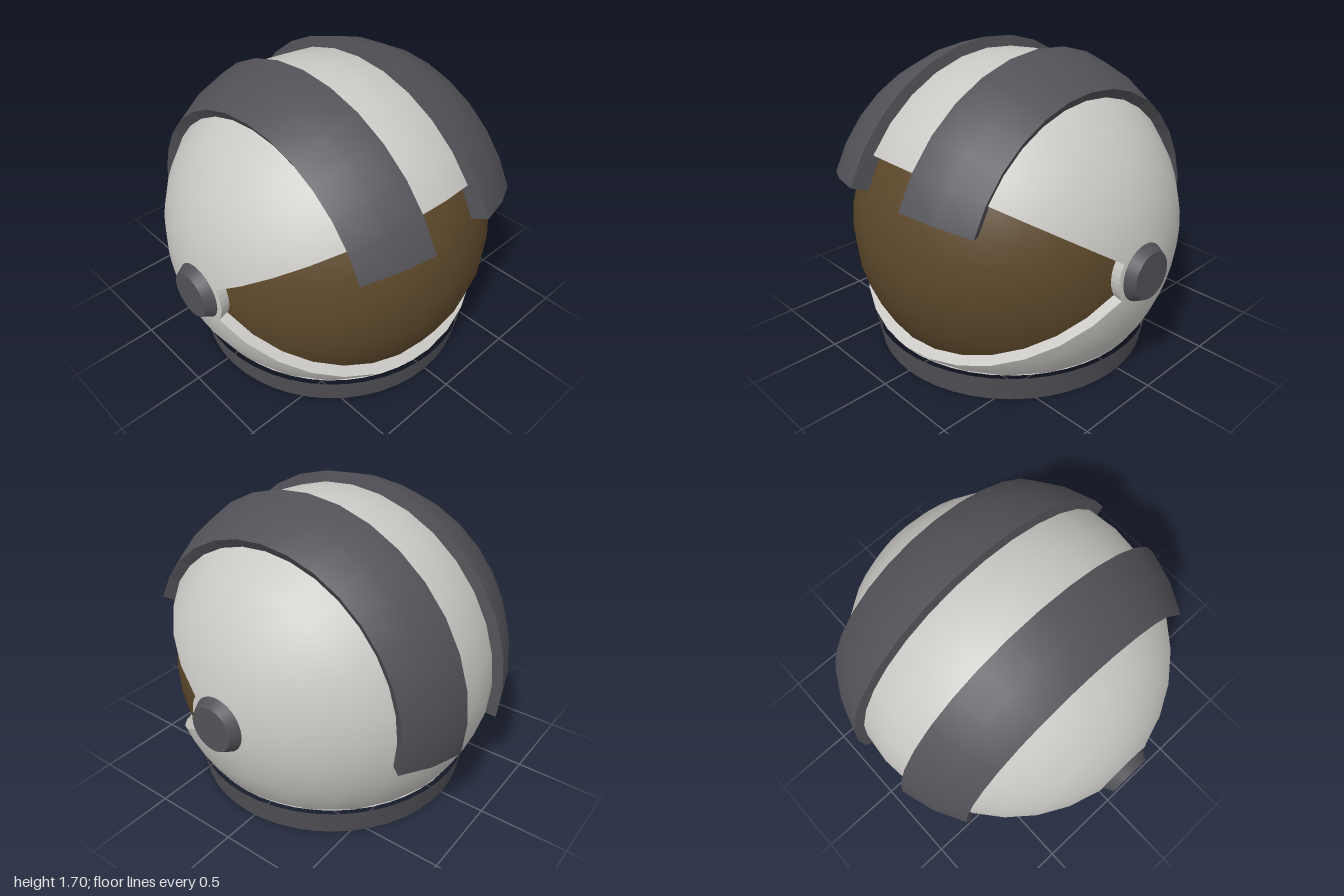
import * as THREE from 'three';

const STEP = Math.PI / 16; // angular step shared by all spherical parts
const CUT = -0.55;         // neck opening height, relative to the sphere centre

// Point on a sphere whose poles lie on the x axis; t counts from the left pole, p upward from the front.
function at(r, t, p) {
  const s = r * Math.sin(t * STEP);
  return new THREE.Vector3(r * Math.cos(t * STEP), s * Math.sin(p * STEP), s * Math.cos(p * STEP));
}

// Keep the part of a polygon above the neck opening.
function clip(poly) {
  const out = [];
  poly.forEach((a, i) => {
    const b = poly[(i + 1) % poly.length];
    if (a.y >= CUT) out.push(a);
    if ((a.y >= CUT) !== (b.y >= CUT)) out.push(a.clone().lerp(b, (CUT - a.y) / (b.y - a.y)));
  });
  return out;
}

// Collects polygons: smooth 1 = outward sphere, -1 = inward sphere, 0 = flat.
class Surface {
  constructor() { this.pos = []; this.nor = []; }
  add(points, smooth = 0) {
    const poly = clip(smooth < 0 ? [...points].reverse() : points);
    for (let i = 1; i + 1 < poly.length; i++) {
      const tri = [poly[0], poly[i], poly[i + 1]];
      const flat = new THREE.Triangle(...tri).getNormal(new THREE.Vector3());
      for (const v of tri) {
        const n = smooth ? v.clone().normalize().multiplyScalar(smooth) : flat;
        this.pos.push(v.x, v.y, v.z);
        this.nor.push(n.x, n.y, n.z);
      }
    }
  }
  cell(r, t, p, smooth) {
    this.add([at(r, t, p), at(r, t, p + 1), at(r, t + 1, p + 1), at(r, t + 1, p)], smooth);
  }
  // Walls around a patch t0..t1, p0..p1 joining radius r0 to r1; side 1 faces away from the patch.
  walls(r0, r1, t0, t1, p0, p1, side) {
    const wall = (ta, pa, tb, pb) => {
      const q = [at(r0, ta, pa), at(r0, tb, pb), at(r1, tb, pb), at(r1, ta, pa)];
      this.add(side > 0 ? q : q.reverse());
    };
    for (let t = t0; t < t1; t++) {
      wall(t, p1, t + 1, p1);
      wall(t + 1, p0, t, p0);
    }
    for (let p = p0; p < p1; p++) {
      wall(t0, p, t0, p + 1);
      wall(t1, p + 1, t1, p);
    }
  }
  mesh(name, material) {
    const g = new THREE.BufferGeometry();
    g.setAttribute('position', new THREE.Float32BufferAttribute(this.pos, 3));
    g.setAttribute('normal', new THREE.Float32BufferAttribute(this.nor, 3));
    const m = new THREE.Mesh(g, material);
    m.name = name;
    return m;
  }
}

export function createModel() {
  const make = (name, color) => {
    const m = new THREE.MeshStandardMaterial({ color, side: THREE.DoubleSide });
    m.name = name;
    return m;
  };
  const white = make('shellWhite', 0xcac8c4);
  const dark = make('trimGrey', 0x525157);
  const amber = make('visorBrown', 0x5c472a);

  const model = new THREE.Group();
  model.name = 'helmet';
  const head = new THREE.Group();
  head.name = 'head';
  head.position.set(0, 0.7, 0.05);
  model.add(head);

  // Thick shell with a wedge-shaped face opening, and the visor filling it
  const shell = new Surface(), visor = new Surface();
  for (let t = 0; t < 16; t++) {
    for (let p = -3; p < 29; p++) {
      if (t > 0 && t < 15 && p < 3) {
        visor.cell(0.9, t, p, 1);
      } else {
        shell.cell(0.96, t, p, 1);
        shell.cell(0.9, t, p, -1);
      }
    }
  }
  shell.walls(0.9, 0.96, 1, 15, -3, 3, -1);
  head.add(shell.mesh('shell', white), visor.mesh('visor', amber));

  // Lip closing the shell thickness at the neck
  const lip = new THREE.Mesh(new THREE.RingGeometry(0.712, 0.787, 48).rotateX(Math.PI / 2), white);
  lip.name = 'neckLip';
  lip.position.y = CUT;
  head.add(lip);

  // Two raised bands running from the brow over the crown to the back
  for (const [name, t0] of [['leftBand', 5], ['rightBand', 9]]) {
    const band = new Surface();
    for (let t = t0; t < t0 + 2; t++) {
      for (let p = 2; p < 17; p++) {
        band.cell(1.02, t, p, 1);
        band.cell(0.922, t, p, -1);
      }
    }
    band.walls(0.922, 1.02, t0, t0 + 2, 2, 17, 1);
    head.add(band.mesh(name, dark));
  }

  // Side pivots: a straight stub, a chamfer and a flat cap
  const stub = new THREE.CylinderGeometry(0.157, 0.157, 0.07, 32).translate(0, 0.91, 0);
  const cap = new THREE.CylinderGeometry(0.127, 0.157, 0.055, 32).translate(0, 0.9725, 0);
  for (const side of [1, -1]) {
    const pivot = new THREE.Group();
    pivot.name = side > 0 ? 'leftPivot' : 'rightPivot';
    pivot.add(new THREE.Mesh(stub, dark), new THREE.Mesh(cap, dark));
    pivot.children[0].name = 'pivotStub';
    pivot.children[1].name = 'pivotCap';
    pivot.rotation.z = -side * Math.PI / 2;
    head.add(pivot);
  }

  // Open, slightly flared neck ring
  const ring = new THREE.Mesh(new THREE.CylinderGeometry(0.815, 0.79, 0.15, 48, 1, true), dark);
  ring.name = 'neckRing';
  ring.position.set(0, 0.075, 0.05);
  model.add(ring);

  return model;
}
